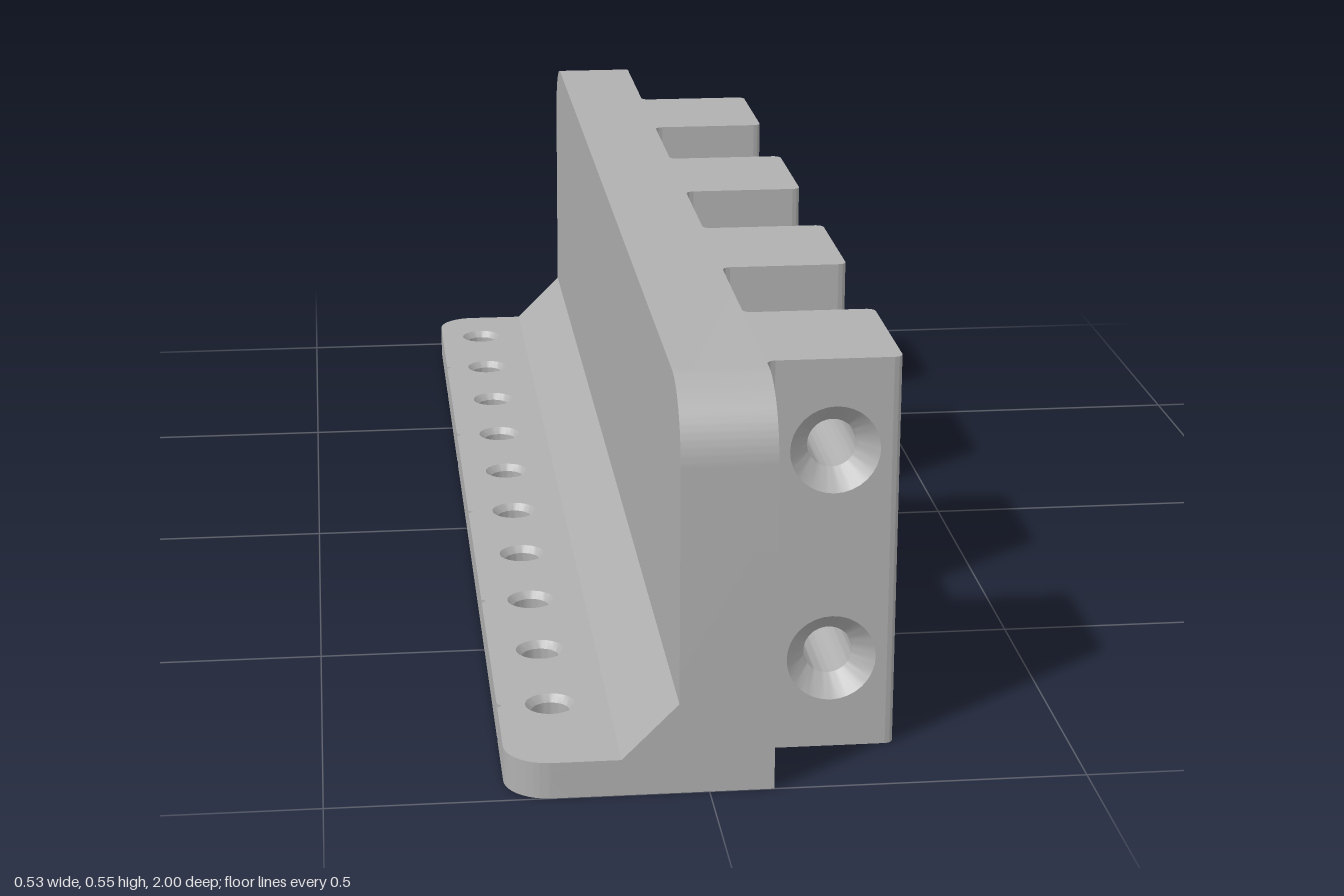
import * as THREE from 'three';
import { toCreasedNormals } from 'three/addons/utils/BufferGeometryUtils.js';

const LENGTH = 2, HEIGHT = 0.545;
const EDGE = 0.265;            // outer x of plate and teeth
const WALL_IN = -0.04, WALL_OUT = 0.085;
const ROUND = 0.012;           // small vertical edge radius

const extrude = (shape, depth) =>
  new THREE.ExtrudeGeometry(shape, { depth, bevelEnabled: false, curveSegments: 16 });

// plan shape (x, -z) pulled upwards from y0
const extrudeUp = (shape, y0, h) => extrude(shape, h).rotateX(-Math.PI / 2).translate(0, y0, 0);

const polygon = (pts) => new THREE.Shape(pts.map(([x, y]) => new THREE.Vector2(x, y)));

function circleHole(x, y, r) {
  const p = new THREE.Path();
  p.absarc(x, y, r, 0, Math.PI * 2, false);
  return p;
}

// round hole with a flattened, pointed roof
function teardropHole(x, y, r) {
  const p = new THREE.Path();
  p.absarc(x, y, r, Math.PI * 5 / 6, Math.PI * 13 / 6, false);
  p.lineTo(x + 0.46 * r, y + 1.2 * r);
  p.lineTo(x - 0.46 * r, y + 1.2 * r);
  p.closePath();
  return p;
}

export function createModel() {
  const model = new THREE.Group();
  model.name = 'toothedBracket';
  const grey = new THREE.MeshStandardMaterial({ color: 0xb0b0b0 });
  grey.name = 'plainGrey';
  const inside = new THREE.MeshStandardMaterial({ color: 0xb0b0b0, side: THREE.BackSide });
  inside.name = 'plainGreyInside';

  const add = (name, geometry, parent = model, material = grey) => {
    const mesh = new THREE.Mesh(toCreasedNormals(geometry, 0.5), material);
    mesh.name = name;
    parent.add(mesh);
    return mesh;
  };

  // Mounting plate: rounded outer corners, edge notches and ten countersunk holes
  const holeZ = Array.from({ length: 10 }, (_, i) => -0.88 + i * 0.188);
  const plateShape = (r) => {
    const c = 0.06, L = LENGTH / 2, s = new THREE.Shape();
    s.moveTo(-0.115, -L);
    s.lineTo(-0.115, L);
    s.lineTo(-EDGE + c, L);
    s.absarc(-EDGE + c, L - c, c, Math.PI / 2, Math.PI, false);
    for (let i = 1; i < 10; i += 2) {
      s.lineTo(-EDGE, -holeZ[i] + 0.007);
      s.lineTo(-EDGE + 0.007, -holeZ[i]);
      s.lineTo(-EDGE, -holeZ[i] - 0.007);
    }
    s.lineTo(-EDGE, -L + c);
    s.absarc(-EDGE + c, -L + c, c, Math.PI, Math.PI * 1.5, false);
    s.closePath();
    for (const z of holeZ) s.holes.push(circleHole(-0.193, -z, r));
    return s;
  };
  add('plateLower', extrudeUp(plateShape(0.026), 0, 0.04));
  add('plateUpper', extrudeUp(plateShape(0.034), 0.04, 0.01));
  for (const z of holeZ) {
    add('plateCountersink',
      new THREE.CylinderGeometry(0.034, 0.026, 0.01, 32, 1, true).translate(-0.193, 0.045, z),
      model, inside);
  }

  // Sloped brace between plate and wall
  add('brace', extrude(polygon([[-0.115, 0], [WALL_IN, 0], [WALL_IN, 0.125], [-0.115, 0.05]]), LENGTH)
    .translate(0, 0, -LENGTH / 2));

  // Upright wall with rounded top corners
  const wall = new THREE.Shape(), R = 0.1, L = LENGTH / 2;
  wall.moveTo(-L, 0);
  wall.lineTo(L, 0);
  wall.lineTo(L, HEIGHT - R);
  wall.absarc(L - R, HEIGHT - R, R, 0, Math.PI / 2, false);
  wall.absarc(-L + R, HEIGHT - R, R, Math.PI / 2, Math.PI, false);
  wall.closePath();
  add('wall', extrude(wall, WALL_OUT - WALL_IN).rotateY(Math.PI / 2).translate(WALL_IN, 0, 0));

  // Four teeth, each bored twice along z; the front one is countersunk
  const boreX = 0.178, boreY = [0.127, 0.42], sink = 0.03;
  const toothBlock = (hole, depth, z0) => {
    const x1 = EDGE - ROUND;
    const s = polygon([[WALL_OUT, 0], [x1, 0], [x1, HEIGHT], [WALL_OUT, HEIGHT]]);
    for (const y of boreY) s.holes.push(hole(y));
    return extrude(s, depth).translate(0, 0, z0);
  };
  const teeth = [[-0.658, -0.443], [-0.22, -0.004], [0.216, 0.432], [0.656, 0.875]];
  teeth.forEach(([z0, z1], i) => {
    const tooth = new THREE.Group();
    tooth.name = 'tooth' + (i + 1);
    model.add(tooth);
    const front = i === teeth.length - 1;
    const r = front ? 0.033 : 0.0225;
    const back = front ? z1 - sink : z1;
    add('toothBlock', toothBlock((y) => teardropHole(boreX, y, r), back - z0, z0), tooth);
    if (front) {
      add('toothFace', toothBlock((y) => circleHole(boreX, y, 0.06), sink, back), tooth);
      for (const y of boreY) {
        add('boreCountersink', new THREE.CylinderGeometry(0.06, 0.033, sink, 48, 1, true)
          .rotateX(Math.PI / 2).translate(boreX, y, z1 - sink / 2), tooth, inside);
      }
    }

    // rounded outer edge strip
    const e = new THREE.Shape(), x = EDGE - ROUND;
    e.moveTo(x, -z1);
    e.absarc(x, -z1 + ROUND, ROUND, -Math.PI / 2, 0, false);
    e.absarc(x, -z0 - ROUND, ROUND, 0, Math.PI / 2, false);
    e.closePath();
    add('toothEdge', extrudeUp(e, 0, HEIGHT), tooth);

    // concave fillets where the tooth meets the wall
    for (const [s, z] of [[1, z0], [-1, z1]]) {
      const f = new THREE.Shape();
      f.moveTo(0, 0);
      f.lineTo(ROUND, 0);
      f.absarc(ROUND, s * ROUND, ROUND, -s * Math.PI / 2, -s * Math.PI, s > 0);
      f.closePath();
      add('rootFillet', extrudeUp(f, 0, HEIGHT).translate(WALL_OUT, 0, z), tooth);
    }
  });
  return model;
}
